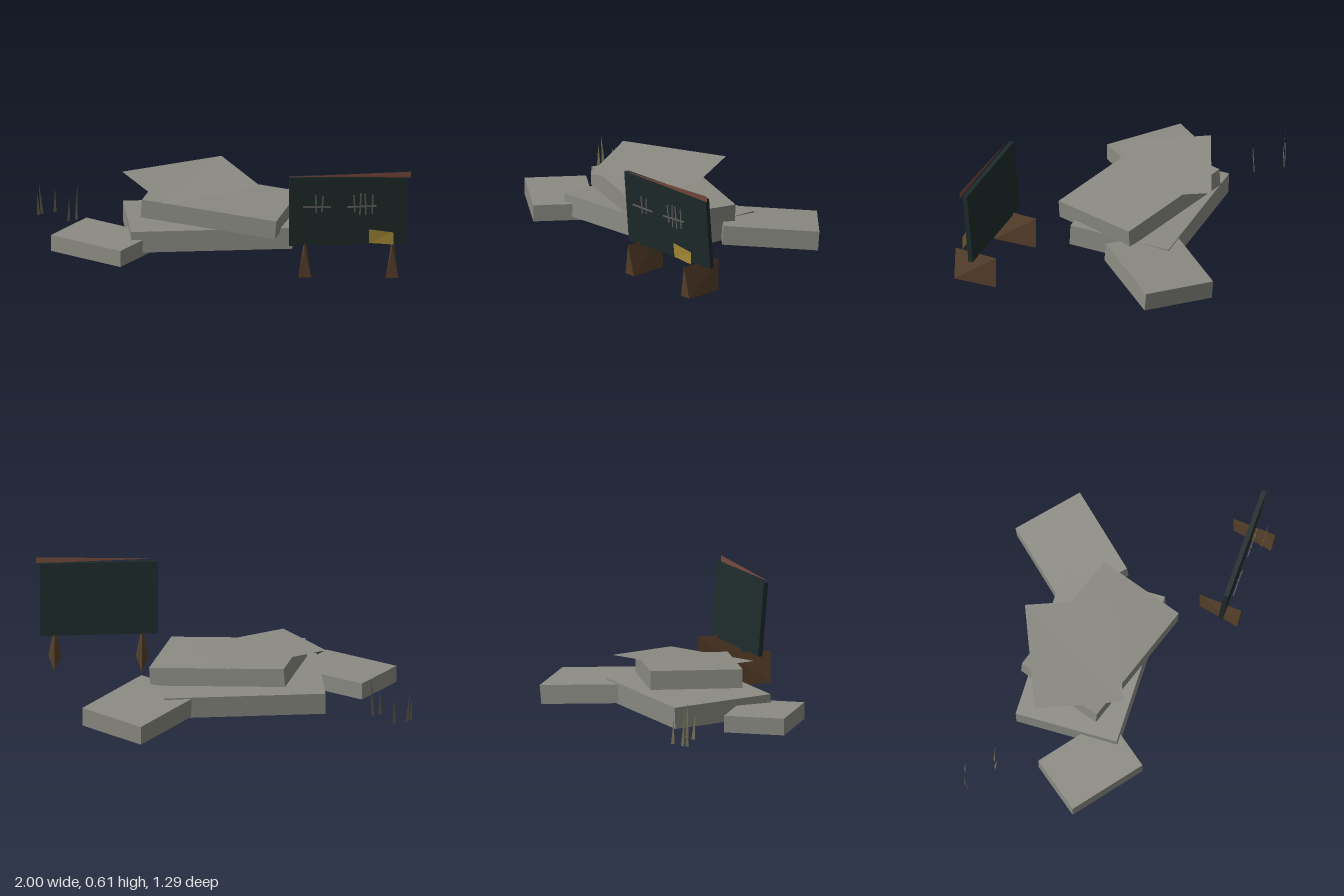
import * as THREE from 'three';

const mat = (name, color, side = THREE.FrontSide) => {
  const m = new THREE.MeshStandardMaterial({ color, side });
  m.name = name;
  return m;
};

export function createModel() {
  const stone = mat('stone', 0x8b8b83);
  const sheetStone = mat('sheetStone', 0x8b8b83, THREE.DoubleSide);
  const board = mat('boardDark', 0x1e2a2b);
  const wood = mat('legWood', 0x573f2a);
  const rust = mat('rust', 0x75493a, THREE.DoubleSide);
  const chalk = mat('scratchGrey', 0x5c5d5a);
  const yellow = mat('noteYellow', 0xa88c36, THREE.DoubleSide);
  const straw = mat('dryGrass', 0x6e6a50, THREE.DoubleSide);

  const model = new THREE.Group();
  const add = (name, geometry, material, parent = model) => {
    const mesh = new THREE.Mesh(geometry, material);
    mesh.name = name;
    parent.add(mesh);
    return mesh;
  };

  // Flat-shaded solid or sheet from corners; each face is a fan of corner indices
  const faceted = (corners, faces) => {
    const pos = [];
    for (const f of faces) {
      for (let i = 1; i < f.length - 1; i++) {
        pos.push(...corners[f[0]], ...corners[f[i]], ...corners[f[i + 1]]);
      }
    }
    const g = new THREE.BufferGeometry();
    g.setAttribute('position', new THREE.Float32BufferAttribute(pos, 3));
    g.computeVertexNormals();
    return g;
  };

  // Tumbled stone slabs: size, centre, then yaw, pitch and roll
  const slab = (name, size, centre, yaw, pitch, roll) => {
    const mesh = add(name, new THREE.BoxGeometry(...size), stone);
    mesh.position.set(...centre);
    mesh.rotation.set(pitch, yaw, roll, 'YXZ');
  };
  slab('baseSlab', [0.855, 0.115, 0.56], [-0.085, 0.1, 0], 0.094, -0.045, 0);
  slab('upperSlab', [0.735, 0.1, 0.49], [-0.02, 0.225, 0.025], -0.235, 0, -0.077);
  slab('backSlab', [0.392, 0.103, 0.508], [0.437, 0.083, -0.327], -0.659, -0.075, 0.05);
  slab('sideSlab', [0.444, 0.09, 0.327], [-0.633, 0.08, 0.228], -0.585, 0, 0);

  // Thin sheet resting above the pile
  add('topSheet', faceted([
    [-0.31, 0.317, 0.285], [0.195, 0.317, 0], [-0.02, 0.341, -0.405], [-0.54, 0.348, -0.13],
  ], [[0, 1, 2, 3]]), sheetStone);

  // Sign board, leaning forward
  const sign = new THREE.Group();
  sign.name = 'sign';
  sign.position.set(0.667, 0.388, 0.552);
  sign.rotation.set(0.085, 0.07, 0, 'YXZ');
  model.add(sign);
  add('signBoard', new THREE.BoxGeometry(0.625, 0.395, 0.025), board, sign);

  // Scratches in front of the board: x, y, length, tilt from upright
  const scratches = [
    [-0.172, 0.05, 0.1, 0.03], [-0.138, 0.05, 0.09, -0.08], [-0.167, 0.032, 0.15, 1.55],
    [0.031, 0.05, 0.1, 0.06], [0.063, 0.045, 0.125, -0.05],
    [0.09, 0.045, 0.125, 0.04], [0.127, 0.045, 0.11, -0.03], [0.07, 0.032, 0.155, 1.6],
  ];
  for (const [x, y, length, tilt] of scratches) {
    const s = add('scratch', new THREE.BoxGeometry(0.008, length, 0.005), chalk, sign);
    s.position.set(x, y, 0.03);
    s.rotation.z = tilt;
  }

  // Tapered rusty strip along the top of the board
  add('topStrip', faceted([
    [0.355, 0.592, 0.607], [1, 0.578, 0.566], [1, 0.611, 0.568],
  ], [[0, 1, 2]]), rust);

  // Yellow note on the lower corner
  add('yellowNote', faceted([
    [0.778, 0.222, 0.605], [0.906, 0.211, 0.597], [0.906, 0.28, 0.599], [0.778, 0.302, 0.614],
  ], [[0, 1, 2, 3]]), yellow);

  // Wedge legs: triangular at the front, narrowing to an upright edge at the back
  for (const x of [0.438, 0.9]) {
    add('signLeg', faceted([
      [x - 0.034, 0.035, 0.633], [x + 0.034, 0.035, 0.633], [x, 0.204, 0.643],
      [x, 0.204, 0.403], [x, 0.025, 0.403],
    ], [[0, 1, 2], [1, 4, 3, 2], [0, 2, 3, 4], [0, 4, 1]]), wood);
  }

  // Dry grass blades: base x and z, tip x, y and z
  const blades = [
    [-0.968, -0.35, -0.985, 0.21, -0.345], [-0.985, -0.33, -0.995, 0.16, -0.335],
    [-0.9, -0.38, -0.9, 0.17, -0.375], [-0.825, -0.24, -0.822, 0.17, -0.225],
    [-0.785, -0.26, -0.78, 0.235, -0.255],
  ];
  for (const [bx, bz, tx, ty, tz] of blades) {
    add('grassBlade', faceted([
      [bx - 0.008, 0.03, bz + 0.007], [bx + 0.008, 0.03, bz - 0.007], [tx, ty, tz],
    ], [[0, 1, 2]]), straw);
  }

  return model;
}
